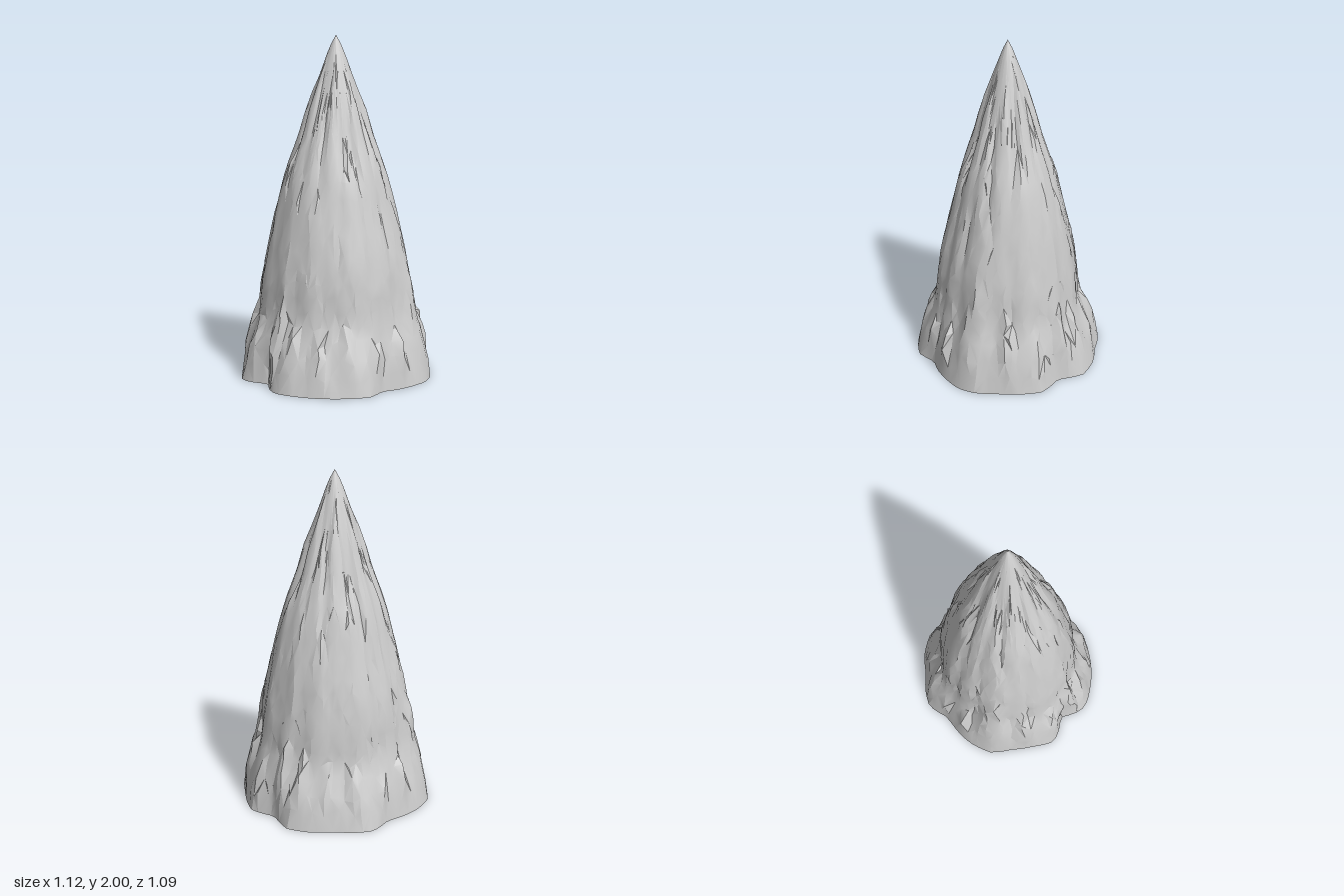
import * as THREE from 'three';
import { toCreasedNormals } from 'three/addons/utils/BufferGeometryUtils.js';

const COLS = 80, CORE = 0.87, TAU = Math.PI * 2;
const { clamp, lerp, smoothstep } = THREE.MathUtils;

// Outer slope of the rock: [height, radius]
const slope = [[0, 0.56], [0.2, 0.525], [0.4, 0.465], [0.6, 0.445], [0.8, 0.405], [1, 0.355], [1.2, 0.305],
  [1.3, 0.268], [1.42, 0.222], [1.6, 0.17], [1.8, 0.097], [1.9, 0.056], [1.97, 0.022], [2, 0]];

// Outline of the foot, [x, z] going round
const foot = [[0.51, -0.02], [0.56, 0.13], [0.47, 0.3], [0.42, 0.37], [0.34, 0.47], [0.25, 0.525], [0.17, 0.535],
  [0.02, 0.53], [-0.06, 0.505], [-0.18, 0.54], [-0.35, 0.445], [-0.5, 0.28], [-0.55, 0.19], [-0.56, 0.12],
  [-0.49, -0.01], [-0.56, -0.12], [-0.56, -0.18], [-0.49, -0.28], [-0.4, -0.39], [-0.31, -0.5], [-0.16, -0.545],
  [0, -0.535], [0.07, -0.52], [0.21, -0.545], [0.31, -0.48], [0.38, -0.4], [0.49, -0.3], [0.555, -0.18]];

// Ribs climbing the rock in three tiers: how far they stand out, and [angle, half width, top height]
const tiers = [
  // pointed skirt at the foot
  { out: 1.05, ribs: [[1.02, 0.27, 0.74], [0.24, 0.2, 0.42], [0.6, 0.16, 0.54], [1.42, 0.17, 0.44], [1.75, 0.16, 0.36],
    [2.08, 0.19, 0.5], [2.42, 0.16, 0.42], [2.75, 0.18, 0.48], [3.02, 0.13, 0.62]] },
  // broad panels half way up
  { out: 1, ribs: [[0.32, 0.3, 1.42], [0.98, 0.33, 1.16], [1.95, 0.35, 1.4], [2.6, 0.31, 1.22], [3, 0.17, 1.32]] },
  // thin ribs reaching for the tip
  { out: 0.98, ribs: [[1.5, 0.26, 1.86], [0.7, 0.3, 1.78], [2.3, 0.3, 1.9], [0.06, 0.26, 1.92], [2.8, 0.26, 1.7],
    [1.15, 0.2, 1.6]] },
];

function lerpTable(table, x) {
  let i = 1;
  while (i < table.length - 1 && table[i][0] < x) i++;
  const [[x0, y0], [x1, y1]] = [table[i - 1], table[i]];
  return y0 + (y1 - y0) * clamp((x - x0) / (x1 - x0), 0, 1);
}

const turn = a => ((a % TAU) + TAU) % TAU;
const polar = foot.map(([x, z]) => [turn(Math.atan2(z, x)), Math.hypot(x, z)]).sort((p, q) => p[0] - q[0]);
const last = polar[polar.length - 1];
const footTable = [[last[0] - TAU, last[1]], ...polar, [polar[0][0] + TAU, polar[0][1]]];

function seeded(seed) {
  return () => {
    seed = (seed * 16807) % 2147483647;
    return seed / 2147483647;
  };
}

// Radius at an angle and height: the core, or the rib that stands out furthest
function radius(angle, y) {
  let bulge = CORE;
  for (const { out, ribs } of tiers) {
    for (const [a, w, h] of ribs) {
      // Each rib repeats half a turn round
      const away = turn(angle - a + Math.PI / 2) % Math.PI - Math.PI / 2;
      const d = Math.abs(away) / w;
      if (d > 1) continue;
      // Gabled top, steep flanks and a fairly flat face
      const fade = clamp((h - 0.3 * d - y) / 0.12, 0, 1);
      bulge = Math.max(bulge, CORE + (out - CORE) * (1 - d * d * d) * fade);
    }
  }
  // The rock is slimmer across one diagonal, and towards the top also front to back
  const oval = 0.975 + 0.03 * Math.sin(2 * angle) + 0.03 * Math.cos(2 * angle) * smoothstep(y, 0.7, 1);
  const atFoot = lerpTable(footTable, turn(angle)) / 0.56;
  return lerpTable(slope, y) * lerp(atFoot, bulge * oval, smoothstep(y, 0, 0.34));
}

function rockGeometry() {
  const random = seeded(71);
  const rows = [0, 0.1, 0.2, 0.29, 0.37, 0.44, 0.52, 0.6, 0.68, 0.77, 0.87, 0.97, 1.07, 1.16, 1.25, 1.34, 1.44,
    1.56, 1.68, 1.79, 1.88, 1.95];
  const points = [], index = [];
  rows.forEach((row, j) => {
    const free = j > 0 && j < rows.length - 1 ? 1 : 0;
    for (let i = 0; i < COLS; i++) {
      const angle = ((i + free * (random() - 0.5) * 0.7) / COLS) * TAU;
      const y = row + free * (random() - 0.5) * 0.05;
      // A little chipping roughens the faces
      const r = radius(angle, y) * (1 + free * (random() - 0.5) * 0.02);
      points.push(r * Math.cos(angle), y, r * Math.sin(angle));
    }
  });
  for (let j = 0; j < rows.length - 1; j++) {
    for (let i = 0; i < COLS; i++) {
      const n = (i + 1) % COLS;
      const a = j * COLS + i, b = j * COLS + n, c = a + COLS, d = b + COLS;
      if ((i + j) % 2) index.push(a, c, b, b, c, d);
      else index.push(a, c, d, a, d, b);
    }
  }
  // Tip and flat underside
  const tip = points.length / 3, base = tip + 1, start = (rows.length - 1) * COLS;
  points.push(0, 2, 0, 0, 0, 0);
  for (let i = 0; i < COLS; i++) {
    const n = (i + 1) % COLS;
    index.push(start + i, tip, start + n, i, n, base);
  }
  const geometry = new THREE.BufferGeometry();
  geometry.setAttribute('position', new THREE.Float32BufferAttribute(points, 3));
  geometry.setIndex(index);
  return toCreasedNormals(geometry, 0.4);
}

export function createModel() {
  const group = new THREE.Group();
  group.name = 'stalagmite';
  const rock = new THREE.Mesh(rockGeometry(), new THREE.MeshStandardMaterial({ color: 0xcccccc }));
  rock.name = 'rock';
  group.add(rock);
  return group;
}
